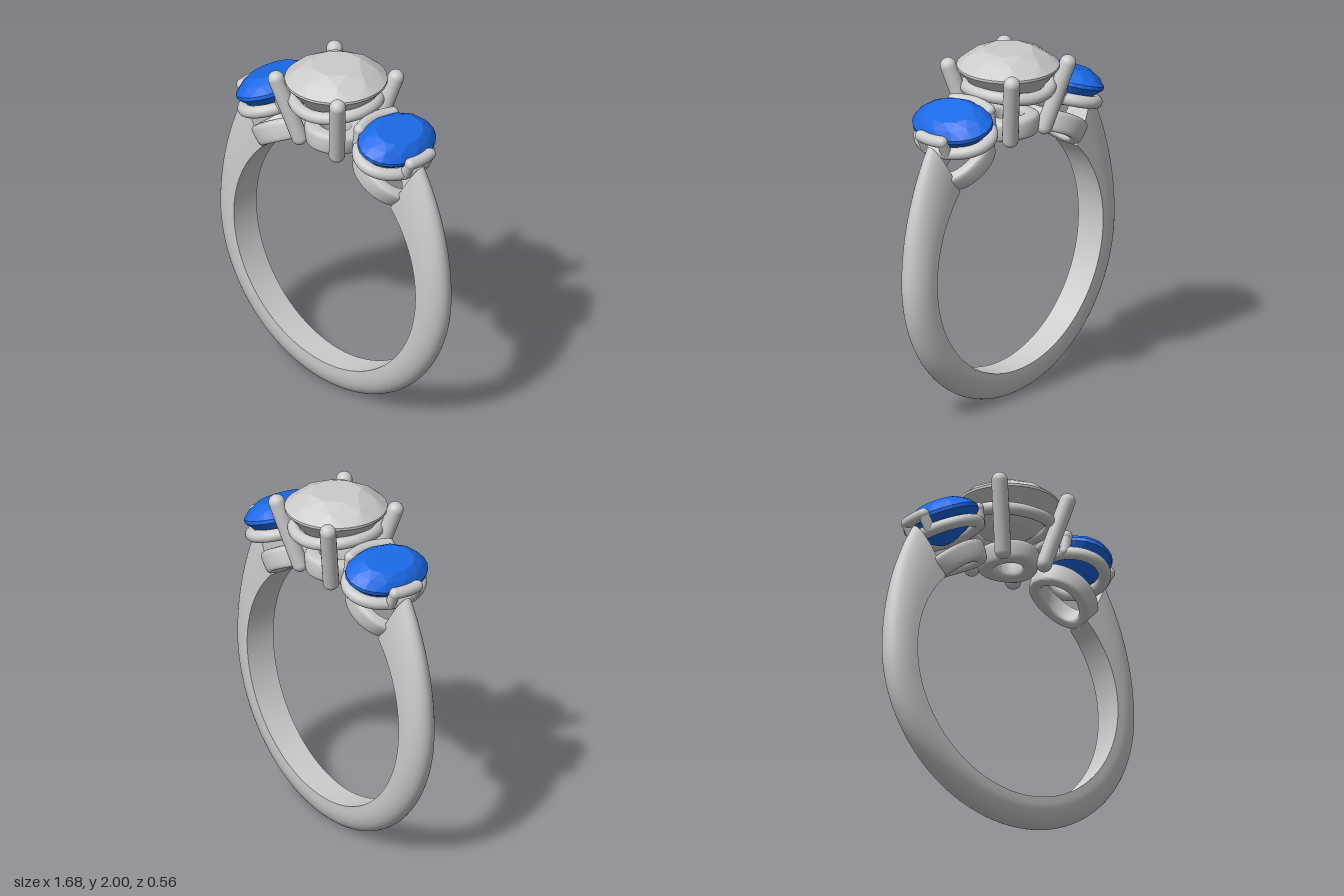
import * as THREE from 'three';
import { mergeGeometries, toCreasedNormals } from 'three/addons/utils/BufferGeometryUtils.js';
import { ConvexGeometry } from 'three/addons/geometries/ConvexGeometry.js';

const V = (x, y, z) => new THREE.Vector3(x, y, z);
const metal = new THREE.MeshStandardMaterial({ color: 0xcccccc });
const clear = new THREE.MeshStandardMaterial({ color: 0xcccccc, flatShading: true });
const blue = new THREE.MeshStandardMaterial({ color: 0x1b6ae8, flatShading: true });
const CY = 0.84, RI = 0.68; // finger hole centre height and radius

function add(parent, name, geometry, material = metal) {
  const mesh = new THREE.Mesh(geometry, material);
  mesh.name = name;
  parent.add(mesh);
  return mesh;
}

// Grid surface from fn(i, j), outward along du x dv
function surface(fn, nu, nv) {
  const pos = [], idx = [];
  for (let i = 0; i <= nu; i++)
    for (let j = 0; j <= nv; j++) pos.push(...fn(i, j).toArray());
  for (let i = 0; i < nu; i++)
    for (let j = 0; j < nv; j++) {
      const a = i * (nv + 1) + j, b = a + nv + 1;
      idx.push(a, b, a + 1, b, b + 1, a + 1);
    }
  const g = new THREE.BufferGeometry();
  g.setAttribute('position', new THREE.Float32BufferAttribute(pos, 3));
  g.setIndex(idx);
  return toCreasedNormals(g, 0.7);
}

// Round-ended rod through points
function rod(points, r) {
  const curve = new THREE.CatmullRomCurve3(points);
  const ends = [points[0], points[points.length - 1]].map(p =>
    new THREE.SphereGeometry(r, 20, 14).translate(p.x, p.y, p.z));
  return mergeGeometries([new THREE.TubeGeometry(curve, 24, r, 20), ...ends]);
}

// Round wire bent to an ellipse, dipping by wave at front and back
function wireRing(a, b, y, r, wave = 0) {
  const pts = [];
  for (let i = 0; i < 24; i++) {
    const t = (i / 24) * Math.PI * 2;
    pts.push(V(a * Math.cos(t), y + wave * Math.cos(2 * t), b * Math.sin(t)));
  }
  return new THREE.TubeGeometry(new THREE.CatmullRomCurve3(pts, true), 80, r, 16, true);
}

// Faceted gem: hull of rings [count, rx, rz, y, turn in steps]
function gem(rings) {
  const pts = [];
  for (const [n, rx, rz, y, turn] of rings)
    for (let i = 0; i < n; i++) {
      const t = ((i + turn) / n) * Math.PI * 2;
      pts.push(V(rx * Math.cos(t), y, rz * Math.sin(t)));
    }
  return new ConvexGeometry(pts);
}

// D-shaped band that grows taller toward its two open ends
function bandGeometry() {
  const nu = 120, nArc = 24, rad = Math.PI / 180;
  const profile = [[0, -1], [0.2, -1]];
  for (let i = 1; i < nArc; i++) {
    const f = (i / nArc - 0.5) * Math.PI;
    profile.push([0.2 + 0.8 * Math.cos(f), Math.sin(f)]);
  }
  profile.push([0.2, 1], [0, 1], [0, -1]);
  const point = (s, t, k) => {
    const k0 = Math.abs(s);
    const ai = s * 135 * rad, ao = s * 140 * rad;
    const rise = Math.max(0, (k0 * 140 - 90) / 50);
    const ro = 0.84 + 0.16 * rise * rise;
    const w = 0.08 + 0.01 * Math.min(1, k0 * 1.5) - 0.012 * rise * rise;
    const inner = V(RI * Math.sin(ai), CY - RI * Math.cos(ai), k * w);
    const outer = V(ro * Math.sin(ao), CY - ro * Math.cos(ao), k * w);
    return inner.lerp(outer, t);
  };
  return surface((i, j) => {
    if (i === 0) return point(-1, 0.5, 0);
    if (i === nu + 2) return point(1, 0.5, 0);
    return point(((i - 1) / nu) * 2 - 1, ...profile[j]);
  }, nu + 2, profile.length - 1);
}

// Oval gallery ring wrapped round the finger hole at angle c from the top
function galleryRing(c, a, b, half) {
  const nu = 64, nv = 24;
  const sq = x => Math.sign(x) * Math.sqrt(Math.abs(x));
  return surface((i, j) => {
    const u = (i / nu) * Math.PI * 2, v = (j / nv) * Math.PI * 2;
    const d = half * sq(Math.cos(v)), h = 0.06 - 0.06 * sq(Math.sin(v));
    const beta = c + ((a + d) * Math.cos(u)) / 0.74, r = RI + h;
    return V(r * Math.sin(beta), CY + r * Math.cos(beta), (b + d) * Math.sin(u));
  }, nu, nv);
}

// Side setting, built on the +x side
function sideSetting(name) {
  const side = new THREE.Group();
  side.name = name;
  add(side, 'sideGalleryRing', galleryRing(0.535, 0.17, 0.13, 0.035));

  const head = new THREE.Group();
  head.name = 'sideHead';
  head.position.set(0.455, 1.7, 0);
  head.rotation.z = -0.31;
  side.add(head);
  add(head, 'sideStone', gem([
    [12, 0.11, 0.15, 0.08, 0.5],
    [12, 0.15, 0.208, 0.05, 0],
    [24, 0.18, 0.25, 0.008, 0],
    [24, 0.18, 0.25, -0.012, 0],
    [12, 0.12, 0.165, -0.085, 0.5],
    [8, 0.03, 0.05, -0.14, 0.5],
  ]), blue);
  add(head, 'sideSeatRing', wireRing(0.165, 0.22, -0.085, 0.035));

  // Bars gripping the outer and inner edges, with legs down to the seat
  for (const [label, dir, z] of [['outer', 1, 0.075], ['inner', -1, 0.13]]) {
    const edge = q => dir * 0.19 * Math.sqrt(1 - (q / 0.26) ** 2);
    const pts = [-1, -0.5, 0, 0.5, 1].map(k => V(edge(k * z), 0.008, k * z));
    add(head, label + 'GripBar', rod(pts, 0.033));
    for (const k of [-1, 1])
      add(head, label + 'GripLeg', rod([
        V(edge(z), 0.008, k * z), V(edge(z) * 0.9, -0.085, k * z),
      ], 0.03));
  }
  return side;
}

export function createModel() {
  const model = new THREE.Group();
  model.name = 'threeStoneRing';
  add(model, 'band', bandGeometry());

  // Centre setting
  const centre = new THREE.Group();
  centre.name = 'centreSetting';
  model.add(centre);
  add(centre, 'centreStone', gem([
    [8, 0.14, 0.14, 2.0, 0.5],
    [8, 0.218, 0.218, 1.965, 0],
    [48, 0.28, 0.28, 1.912, 0],
    [48, 0.28, 0.28, 1.898, 0],
    [8, 0.145, 0.145, 1.738, 0.5],
    [1, 0, 0, 1.655, 0],
  ]), clear);
  add(centre, 'centreSeatRing', wireRing(0.23, 0.23, 1.79, 0.035, 0.012));
  add(centre, 'centreGalleryRing', galleryRing(0, 0.125, 0.125, 0.045));
  for (const sx of [-1, 1])
    for (const sz of [-1, 1]) {
      const top = V(sx * 0.23, 1.91, sz * 0.23), foot = V(sx * 0.14, 1.545, sz * 0.14);
      add(centre, 'centreProng', rod([foot, top], 0.045));
    }

  // Left and right settings
  model.add(sideSetting('leftSetting'));
  const right = sideSetting('rightSetting');
  right.rotation.y = Math.PI;
  model.add(right);
  return model;
}
